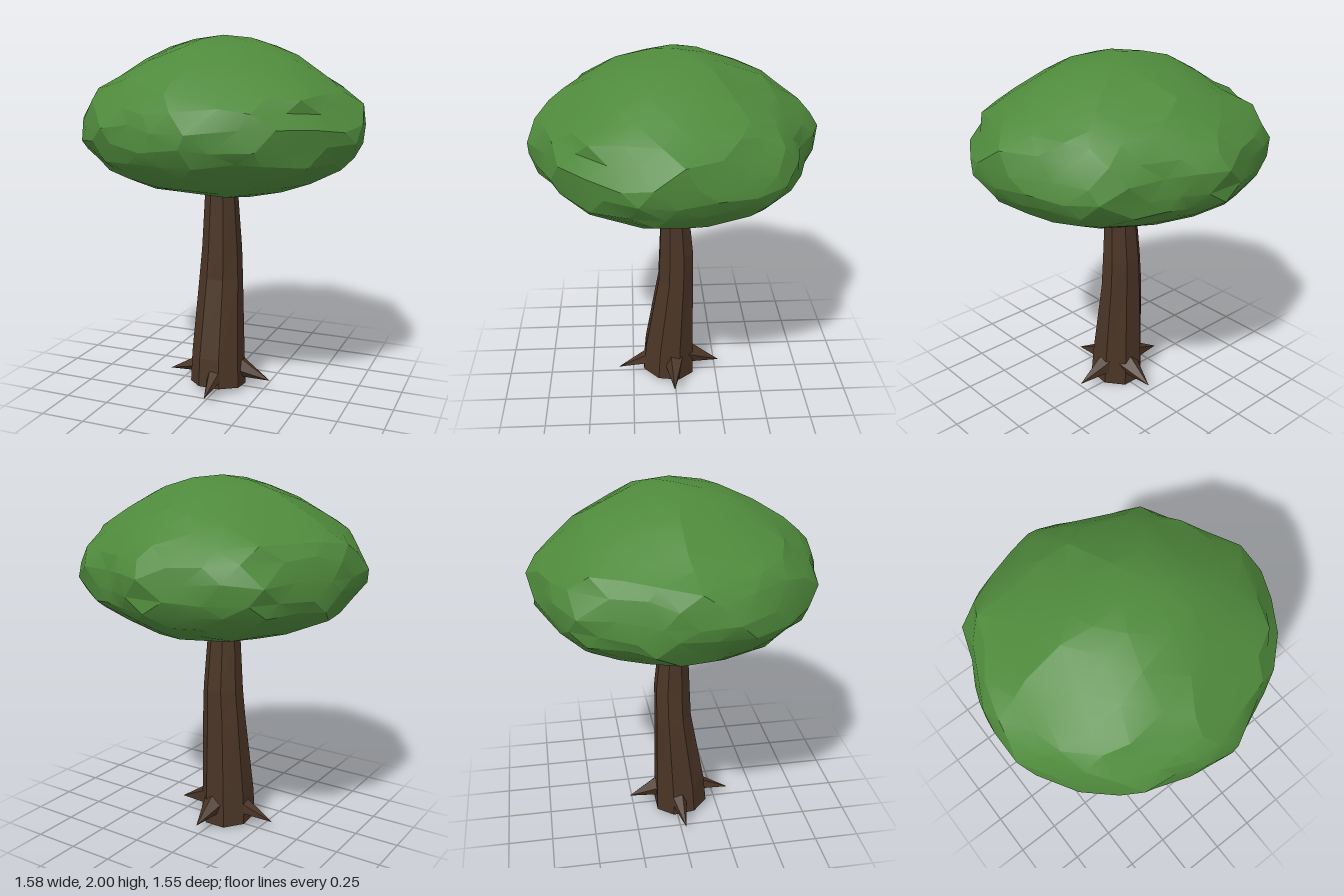
import * as THREE from 'three';
import { mergeVertices, toCreasedNormals } from 'three/addons/utils/BufferGeometryUtils.js';

// crown outline seen from above, as [x, z]
const OUTLINE = [
  [0.8, -0.05], [0.8, 0.17], [0.72, 0.3], [0.65, 0.46], [0.45, 0.62], [0.2, 0.73], [0.07, 0.77],
  [-0.14, 0.75], [-0.43, 0.65], [-0.65, 0.43], [-0.75, 0.22], [-0.8, -0.07], [-0.76, -0.2],
  [-0.65, -0.42], [-0.58, -0.55], [-0.47, -0.65], [-0.38, -0.66], [-0.05, -0.78], [0.1, -0.75],
  [0.3, -0.65], [0.57, -0.54], [0.68, -0.32],
];

// distance from the axis to the outline in direction (dx, dz)
function outlineRadius(dx, dz) {
  for (let i = 0; i < OUTLINE.length; i++) {
    const [ax, az] = OUTLINE[i];
    const [bx, bz] = OUTLINE[(i + 1) % OUTLINE.length];
    const a = ax * dz - az * dx;
    const b = bx * dz - bz * dx;
    if (a >= 0 && b <= 0 && a !== b) {
      const t = a / (a - b);
      return Math.hypot(ax + (bx - ax) * t, az + (bz - az) * t);
    }
  }
  return 0.78;
}

function seeded(seed) {
  return () => {
    seed = (seed * 16807) % 2147483647;
    return (seed / 2147483647) * 2 - 1;
  };
}

// flattened, faceted dome of leaves
function crownGeometry() {
  const rand = seeded(4711);
  let geo = new THREE.IcosahedronGeometry(1, 4);
  geo.rotateZ(Math.atan(2 / (1 + Math.sqrt(5))));
  geo.deleteAttribute('normal');
  geo.deleteAttribute('uv');
  geo = mergeVertices(geo, 1e-4);
  const pos = geo.attributes.position;
  const d = new THREE.Vector3();
  for (let i = 0; i < pos.count; i++) {
    d.fromBufferAttribute(pos, i);
    const atPole = d.y > 0.999;
    if (!atPole) d.add(new THREE.Vector3(rand(), rand(), rand()).multiplyScalar(0.045)).normalize();
    const flat = Math.hypot(d.x, d.z);
    const s = Math.abs(d.y);
    const bump = atPole ? 1 : 1 + 0.022 * rand() + 0.012 * Math.sin(7 * d.x + 2) * Math.sin(6 * d.z + 5 * d.y);
    const r = flat < 1e-4 ? 0 : outlineRadius(d.x / flat, d.z / flat) * flat * bump;
    const y = d.y > 0 ? 0.5 * Math.pow(s, 1 + 0.9 * s * s) : -0.36 * s;
    pos.setXYZ(i, flat < 1e-4 ? 0 : (d.x / flat) * r, 1.5 + y * bump, flat < 1e-4 ? 0 : (d.z / flat) * r);
  }
  return toCreasedNormals(geo, 0.3);
}

// eight-sided trunk, bulging forward at the foot: [y, xMin, xMax, zMin, zMax]
function trunkGeometry() {
  const levels = [
    [0.02, -0.165, 0.13, -0.11, 0.185],
    [0.2, -0.16, 0.12, -0.11, 0.17],
    [0.65, -0.135, 0.1, -0.107, 0.09],
    [0.82, -0.12, 0.093, -0.107, 0.083],
    [1.14, -0.1, 0.075, -0.075, 0.07],
    [1.28, -0.095, 0.07, -0.065, 0.065],
  ];
  const geo = new THREE.CylinderGeometry(1, 1, levels.length - 1, 8, levels.length - 1);
  const pos = geo.attributes.position;
  const half = (levels.length - 1) / 2;
  const wide = 1 / Math.cos(Math.PI / 8);
  geo.rotateY(Math.PI / 8);
  for (let i = 0; i < pos.count; i++) {
    const k = Math.round(pos.getY(i) + half);
    const [y, x0, x1, z0, z1] = levels[k];
    const z = (z0 + z1) / 2 + (pos.getZ(i) * wide * (z1 - z0)) / 2;
    const x = (x0 + x1) / 2 + (pos.getX(i) * wide * (x1 - x0)) / 2;
    // the sole tilts up slightly towards the front
    pos.setXYZ(i, x, k === 0 ? 0.015 + 0.13 * (z + 0.11) : y, z);
  }
  pos.array.forEach((v, i) => { if (i % 3 === 1 && v < 0.06) pos.array[i] = Math.max(0, v - 0.015); });
  return geo;
}

// pointed root running from inside the trunk to its tip
function makeRoot(tip, material) {
  const end = new THREE.Vector3(...tip);
  const start = new THREE.Vector3(end.x, 0, end.z).setLength(0.07).setY(0.13);
  const dir = end.clone().sub(start);
  const geo = new THREE.ConeGeometry(0.072, dir.length(), 5);
  geo.scale(1, 1, 0.95);
  const root = new THREE.Mesh(geo, material);
  root.position.copy(start).addScaledVector(dir, 0.5);
  root.quaternion.setFromUnitVectors(new THREE.Vector3(0, 1, 0), dir.normalize());
  root.name = 'root';
  return root;
}

export function createModel() {
  const tree = new THREE.Group();
  tree.name = 'tree';
  const bark = new THREE.MeshStandardMaterial({ color: 0x4a3526, flatShading: true });
  const leaves = new THREE.MeshStandardMaterial({ color: 0x4f8a3c });

  const trunk = new THREE.Mesh(trunkGeometry(), bark);
  trunk.name = 'trunk';
  tree.add(trunk);

  const roots = new THREE.Group();
  roots.name = 'roots';
  for (const tip of [[0.29, 0.06, 0.01], [-0.33, 0.05, 0.02], [0.02, 0.04, 0.34], [0.0, 0.06, -0.27]]) {
    roots.add(makeRoot(tip, bark));
  }
  tree.add(roots);

  const crown = new THREE.Mesh(crownGeometry(), leaves);
  crown.name = 'crown';
  tree.add(crown);
  return tree;
}
